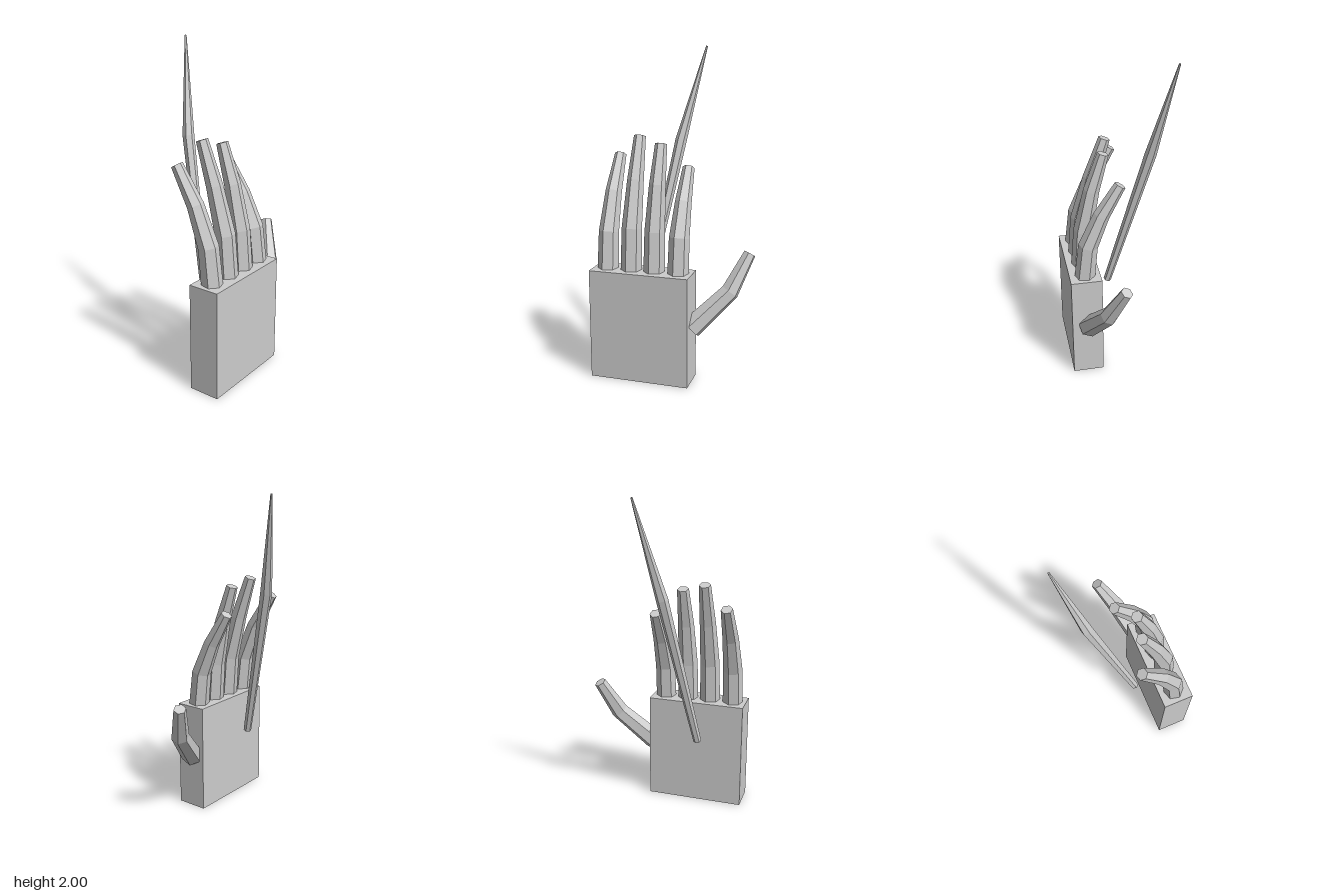
import * as THREE from 'three';

const grey = new THREE.MeshStandardMaterial({ color: 0xcccccc, flatShading: true });
grey.name = 'plain grey';

// Closed six-sided limb through rings of [x, y, z, radius]; phase turns the hexagon.
function hexLimb(name, rings, phase) {
  const SIDES = 6;
  const centres = rings.map(([x, y, z]) => new THREE.Vector3(x, y, z));
  const last = rings.length - 1;
  const loops = rings.map((ring, i) => {
    // ring plane is square to the mean direction of its neighbouring segments
    const t = new THREE.Vector3();
    if (i > 0) t.add(centres[i].clone().sub(centres[i - 1]).normalize());
    if (i < last) t.add(centres[i + 1].clone().sub(centres[i]).normalize());
    t.normalize();
    const u = new THREE.Vector3(1, 0, 0).addScaledVector(t, -t.x).normalize();
    const v = u.clone().cross(t);
    return Array.from({ length: SIDES }, (_, k) => {
      const a = phase + (k * Math.PI * 2) / SIDES;
      return centres[i].clone()
        .addScaledVector(u, Math.cos(a) * ring[3])
        .addScaledVector(v, Math.sin(a) * ring[3]);
    });
  });

  const points = [];
  for (let k = 0; k < SIDES; k++) {
    const n = (k + 1) % SIDES;
    for (let i = 0; i < last; i++) {
      const a = loops[i], b = loops[i + 1];
      points.push(a[k], b[k], a[n], a[n], b[k], b[n]);
    }
    points.push(centres[0], loops[0][k], loops[0][n]);
    points.push(centres[last], loops[last][n], loops[last][k]);
  }
  const geometry = new THREE.BufferGeometry().setFromPoints(points);
  geometry.computeVertexNormals();
  const mesh = new THREE.Mesh(geometry, grey);
  mesh.name = name;
  return mesh;
}

export function createModel() {
  const hand = new THREE.Group();
  hand.name = 'hand with wand';

  // Palm block
  const palm = new THREE.Mesh(new THREE.BoxGeometry(0.615, 0.68, 0.195), grey);
  palm.name = 'palm';
  palm.position.set(-0.173, 0.34, 0.23);
  hand.add(palm);

  // Four fingers curling backwards: x, knuckle, middle joint and tip as [y, z]
  const fingers = [
    ['littleFinger', -0.395, [0.9, 0.205], [1.13, 0.115], [1.345, -0.015]],
    ['ringFinger', -0.245, [0.93, 0.21], [1.21, 0.135], [1.468, 0.046]],
    ['middleFinger', -0.1, [0.92, 0.212], [1.19, 0.155], [1.428, 0.08]],
    ['indexFinger', 0.05, [0.89, 0.205], [1.09, 0.12], [1.283, 0.005]],
  ];
  for (const [name, x, low, mid, tip] of fingers) {
    hand.add(hexLimb(name, [
      [x, 0.67, 0.23, 0.064],
      [x, ...low, 0.061],
      [x, ...mid, 0.05],
      [x, ...tip, 0.036],
    ], THREE.MathUtils.degToRad(43)));
  }

  // Thumb
  hand.add(hexLimb('thumb', [
    [0.13, 0.345, 0.225, 0.068],
    [0.345, 0.565, 0.132, 0.056],
    [0.443, 0.785, 0.043, 0.038],
  ], Math.PI / 6));

  // Wand behind the fingers, tapering to a point
  hand.add(hexLimb('wand', [
    [-0.215, 0.462, 0.04, 0.025],
    [-0.06, 1.42, -0.205, 0.036],
    [0.073, 1.998, -0.325, 0.006],
  ], THREE.MathUtils.degToRad(45)));

  return hand;
}
